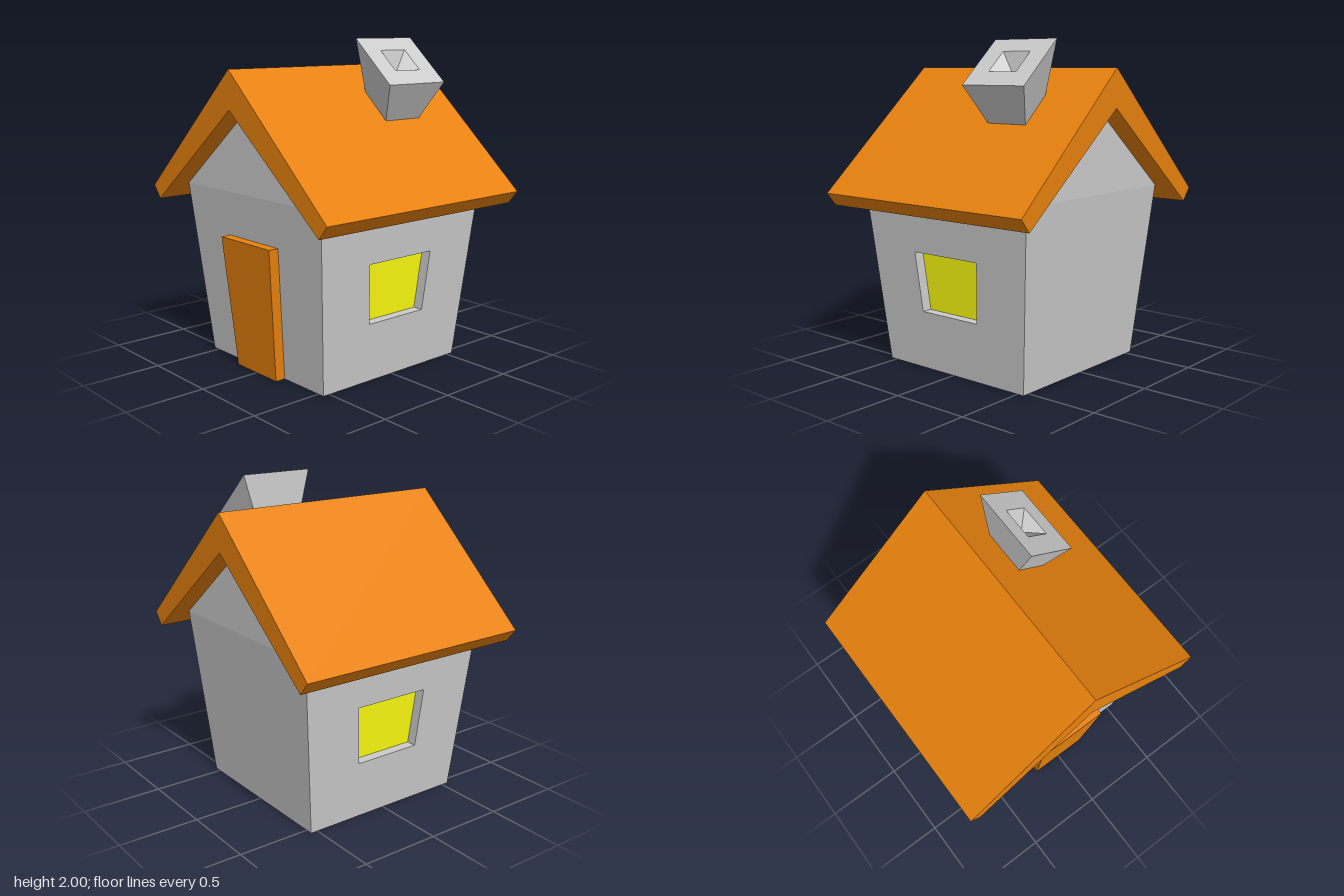
import * as THREE from 'three';

const EAVE = 1.095; // height where the leaning walls meet the roof
const BASE = 0.545; // half width of the house at the ground
const LEAN = 0.1;   // how far the walls lean out at the eave

const material = (color) =>
  new THREE.MeshStandardMaterial({ color, flatShading: true, side: THREE.DoubleSide });
const grey = material(0xcccccc);
const orange = material(0xe8820e);
const yellow = material(0xffff10);

// Flat-faced mesh from convex polygons, each a list of [x, y, z] corners
function polyMesh(name, polygons, mat) {
  const positions = [];
  for (const p of polygons)
    for (let i = 1; i < p.length - 1; i++) positions.push(...p[0], ...p[i], ...p[i + 1]);
  const geometry = new THREE.BufferGeometry();
  geometry.setAttribute('position', new THREE.Float32BufferAttribute(positions, 3));
  geometry.computeVertexNormals();
  const mesh = new THREE.Mesh(geometry, mat);
  mesh.name = name;
  return mesh;
}

// Quads joining two loops of equal length
function bridge(a, b, closed = true) {
  const quads = [];
  for (let i = 0; i < a.length - (closed ? 0 : 1); i++) {
    const j = (i + 1) % a.length;
    quads.push([a[i], a[j], b[j], b[i]]);
  }
  return quads;
}

// Point on a leaning wall that faces +z, pushed out by d
const onWall = (u, y, d = 0) => [u, y, BASE + (LEAN * y) / EAVE + d];

// Corners from bottom right counter-clockwise to bottom left
const wallLoop = (lowHalf, low, highHalf, high, d) => [
  onWall(lowHalf, low, d), onWall(highHalf, high, d),
  onWall(-highHalf, high, d), onWall(-lowHalf, low, d),
];
const wallOutline = wallLoop(BASE, 0, BASE + LEAN, EAVE);

// Wall with a recessed window
function windowWall(name, angle) {
  const rim = wallLoop(0.22, 0.365, 0.25, 0.735, 0);
  const pane = wallLoop(0.22, 0.365, 0.25, 0.735, -0.065);
  const group = new THREE.Group();
  group.name = name;
  group.add(
    polyMesh('wallPanel', bridge(wallOutline, rim), grey),
    polyMesh('windowReveal', bridge(rim, pane), grey),
    polyMesh('windowPane', [pane], yellow),
  );
  group.rotation.y = angle;
  return group;
}

// Gable wall, optionally with a door standing out of an opening
function gableWall(name, angle, hasDoor) {
  const half = BASE + LEAN;
  const gable = [[half, EAVE, half], [0, 1.605, half], [-half, EAVE, half]];
  const group = new THREE.Group();
  group.name = name;
  if (hasDoor) {
    const rim = wallLoop(0.19, 0, 0.235, 0.82, 0);
    const face = wallLoop(0.19, 0, 0.235, 0.82, 0.065);
    group.add(
      polyMesh('wallPanel', [...bridge(wallOutline, rim, false), gable], grey),
      polyMesh('door', [...bridge(rim, face, false), face], orange),
    );
  } else {
    group.add(polyMesh('wallPanel', [wallOutline, gable], grey));
  }
  group.rotation.y = angle;
  return group;
}

// Thick pitched roof, extruded along the ridge
function roof() {
  const length = 1.554;
  const shape = new THREE.Shape([
    [0, 1.835], [-0.845, 1.07], [-0.78, 0.99], [0, 1.605], [0.78, 0.99], [0.845, 1.07],
  ].map(([z, y]) => new THREE.Vector2(z, y)));
  const geometry = new THREE.ExtrudeGeometry(shape, { depth: length, bevelEnabled: false });
  geometry.translate(0, 0, -length / 2).rotateY(-Math.PI / 2);
  const mesh = new THREE.Mesh(geometry, orange);
  mesh.name = 'roof';
  return mesh;
}

// Flared chimney with a sloping top and a pointed pit
function chimney() {
  const loop = (x0, x1, [yFront, zFront], [yBack, zBack]) => [
    [x0, yFront, zFront], [x1, yFront, zFront], [x1, yBack, zBack], [x0, yBack, zBack],
  ];
  const foot = loop(0.115, 0.4, [1.512, 0.357], [1.677, 0.175]);
  const top = loop(0.025, 0.49, [1.735, 0.48], [2, 0.185]);
  const rim = loop(0.155, 0.36, [1.811, 0.395], [1.928, 0.265]);
  const tip = [0.257, 1.79, 0.295];
  const pit = rim.map((p, i) => [p, rim[(i + 1) % 4], tip]);
  return polyMesh('chimney', [...bridge(foot, top), ...bridge(top, rim), ...pit], grey);
}

export function createModel() {
  const house = new THREE.Group();
  house.name = 'house';
  house.add(
    windowWall('frontWall', 0),
    windowWall('backWall', Math.PI),
    gableWall('leftWall', Math.PI / 2, false),
    gableWall('rightWall', -Math.PI / 2, true),
    roof(),
    chimney(),
  );
  return house;
}
